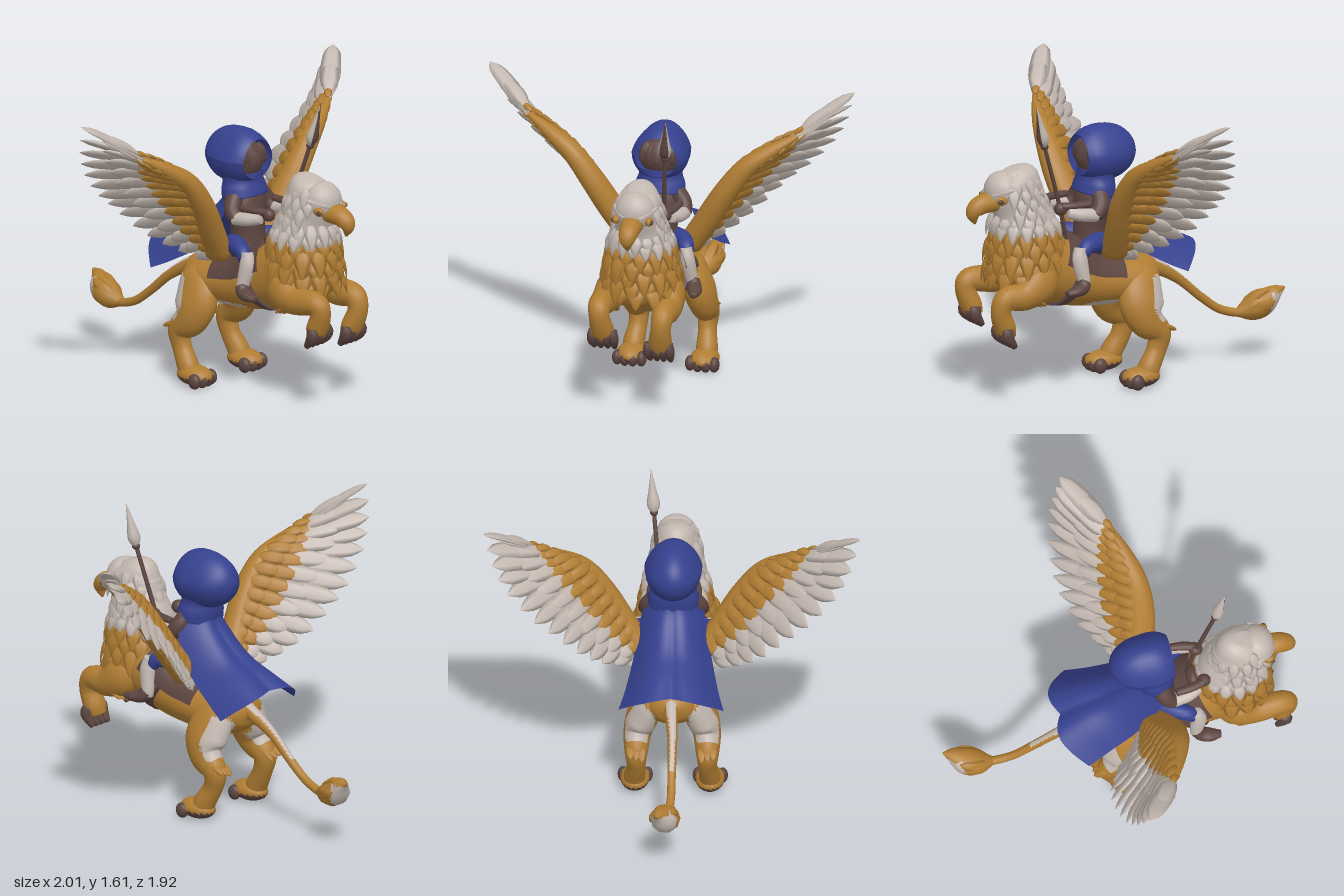
import * as THREE from 'three';
import { mergeGeometries } from 'three/addons/utils/BufferGeometryUtils.js';

const V = (x, y, z) => new THREE.Vector3(x, y, z);
const mat = (name, color, side = THREE.FrontSide) => {
  const m = new THREE.MeshStandardMaterial({ color, side });
  m.name = name;
  return m;
};

// Tube through sections [x, y, z, radiusAlongRef, radiusAcross]
function loft(sections, { ref = V(1, 0, 0), rings = 24, sides = 16, a0 = 0, a1 = Math.PI * 2, grow = 0 } = {}) {
  const path = new THREE.CatmullRomCurve3(sections.map(s => V(s[0], s[1], s[2])), false, 'catmullrom');
  const radii = new THREE.CatmullRomCurve3(sections.map(s => V(s[3], s[4], 0)), false, 'catmullrom');
  const full = a1 - a0 > 6.28, cols = full ? sides : sides + 1, pos = [], idx = [];
  for (let i = 0; i <= rings; i++) {
    const c = path.getPoint(i / rings), t = path.getTangent(i / rings), r = radii.getPoint(i / rings);
    const side = ref.clone().addScaledVector(t, -ref.dot(t)).normalize(), up = t.clone().cross(side);
    for (let j = 0; j < cols; j++) {
      const a = a0 + (a1 - a0) * j / sides;
      const p = c.clone().addScaledVector(side, Math.cos(a) * (Math.max(r.x, 0.001) + grow))
        .addScaledVector(up, Math.sin(a) * (Math.max(r.y, 0.001) + grow));
      pos.push(p.x, p.y, p.z);
    }
  }
  for (let i = 0; i < rings; i++) for (let j = 0; j < sides; j++) {
    const k = full ? (j + 1) % sides : j + 1, a = i * cols + j, b = i * cols + k;
    idx.push(a, b, a + cols, b, b + cols, a + cols);
  }
  if (full) for (const end of [0, 1]) {
    const c = path.getPoint(end), n = pos.length / 3, o = end * rings * cols;
    pos.push(c.x, c.y, c.z);
    for (let j = 0; j < sides; j++) {
      const k = (j + 1) % sides;
      idx.push(n, o + (end ? j : k), o + (end ? k : j));
    }
  }
  const g = new THREE.BufferGeometry();
  g.setAttribute('position', new THREE.Float32BufferAttribute(pos, 3));
  g.setIndex(idx);
  g.computeVertexNormals();
  return g;
}

// Splits a geometry into two material groups by a rule on face centre and normal
function paint(g, rule) {
  const lists = [[], []], ix = g.index.array, c = V(), n = V(), p = V();
  for (let i = 0; i < ix.length; i += 3) {
    c.set(0, 0, 0); n.set(0, 0, 0);
    for (let k = 0; k < 3; k++) {
      c.add(p.fromBufferAttribute(g.attributes.position, ix[i + k]));
      n.add(p.fromBufferAttribute(g.attributes.normal, ix[i + k]));
    }
    lists[rule(c.divideScalar(3), n.normalize()) ? 1 : 0].push(ix[i], ix[i + 1], ix[i + 2]);
  }
  g.setIndex([...lists[0], ...lists[1]]);
  g.clearGroups();
  g.addGroup(0, lists[0].length, 0);
  g.addGroup(lists[0].length, lists[1].length, 1);
  return g;
}

// Flat curved leaf from base to tip
function feather(base, tip, normal, w, th, bend = 0, blunt = 0.75) {
  const d = tip.clone().sub(base), at = (t, rw, k) => {
    const p = base.clone().addScaledVector(d, t).addScaledVector(normal, k * bend);
    return [p.x, p.y, p.z, w * rw, th * rw];
  };
  return loft([at(0, 0.5, 0), at(0.3, 1, 0.7), at(0.6, (1 + blunt) / 2, 0.9), at(0.85, blunt * 0.8, 0.5), at(1, 0.08, 0)],
    { ref: normal.clone().cross(d).normalize(), rings: 8, sides: 6 });
}

const ball = (x, y, z, a, b, c) => new THREE.SphereGeometry(1, 18, 12).scale(a, b, c).translate(x, y, z);

export function createModel() {
  const model = new THREE.Group();
  const gold = mat('golden fur', 0xb07d33), cream = mat('pale feathers', 0xc3b8b0);
  const dark = mat('dark brown leather', 0x5c4540, THREE.DoubleSide);
  const blue = mat('blue cloth', 0x36418f, THREE.DoubleSide);
  const add = (name, g, m) => {
    const mesh = new THREE.Mesh(Array.isArray(g) ? mergeGeometries(g) : g, m);
    mesh.name = name;
    model.add(mesh);
  };
  const rumpPatch = c => Math.abs(c.x) > .09 && ((c.z + .12) / .06) ** 2 + ((c.y - .47) / .12) ** 2 < 1;

  // Body
  const body = [[0, .59, -.2, .04, .03], [0, .585, -.16, .11, .085], [0, .565, -.05, .17, .125], [0, .565, .1, .175, .135],
    [0, .6, .3, .18, .155], [0, .68, .48, .195, .19], [0, .73, .62, .2, .19], [0, .74, .74, .14, .14], [0, .74, .8, .05, .05]];
  add('body', paint(loft(body, { rings: 56, sides: 36 }),
    (c, n) => rumpPatch(c) || (c.z > .08 && c.z < .28 && c.y < .48 && n.y < -.75)), [gold, cream]);

  // Neck and head
  add('neck', paint(loft([[0, .68, .6, .17, .17], [0, .8, .6, .185, .19], [0, .92, .6, .165, .18], [0, 1.03, .63, .13, .155],
    [0, 1.13, .66, .12, .155], [0, 1.2, .665, .1, .135], [0, 1.245, .68, .045, .06]], { rings: 40, sides: 24 }), c => c.y > .9), [gold, cream]);
  add('head', ball(0, 1.135, .735, .108, .105, .1), cream);
  add('beak', loft([[0, 1.08, .78, .06, .055], [0, 1.07, .87, .055, .052], [0, 1.03, .915, .042, .042], [0, .97, .905, .006, .006]]), gold);
  for (const s of [-1, 1]) {
    add('eyeRing', ball(s * .09, 1.1, .79, .022, .024, .032), gold);
    add('eye', ball(s * .104, 1.1, .803, .012, .013, .016), dark);
    add('brow', feather(V(s * .04, 1.125, .825), V(s * .12, 1.16, .72), V(s * .4, 1, 0).normalize(), .025, .014), cream);
  }

  // Overlapping ruff rows: y, z, rx, rz, count, length
  const ruff = (name, rows, m) => {
    const parts = [];
    rows.forEach(([y, z, rx, rz, n, len], r) => {
      for (let i = 0; i < n; i++) {
        const a = (i + (r % 2) / 2) / n * Math.PI * 2, j = Math.sin(i * 7.3 + r * 3.1);
        if (y > 1.02 && Math.sin(a) > .55) continue;
        const out = V(Math.cos(a), .15, Math.sin(a)).normalize();
        const base = V(Math.cos(a) * rx, y + j * .012, z + Math.sin(a) * rz);
        const tip = base.clone().addScaledVector(out, .032 + j * .014).add(V(0, -len * (1 + j * .25), 0));
        parts.push(feather(base, tip, out, Math.min(.05, rx * 2.6 / n + .014), .012, .01, .45));
      }
    });
    add(name, parts, m);
  };
  ruff('headFeathers', [[1.235, .67, .05, .07, 8, .08], [1.2, .665, .085, .12, 12, .1], [1.15, .66, .105, .14, 14, .1],
    [1.1, .65, .112, .145, 14, .11], [1.05, .635, .12, .145, 15, .11], [1, .62, .135, .155, 15, .11], [.96, .605, .15, .165, 16, .09]], cream);
  ruff('chestFeathers', [[.92, .6, .16, .175, 14, .12], [.87, .6, .173, .185, 14, .13], [.81, .6, .18, .19, 15, .13],
    [.76, .605, .18, .188, 14, .13], [.71, .62, .175, .175, 13, .11]], gold);

  for (const s of [-1, 1]) {
    // Hind leg
    add('hindLeg', paint(loft([[s * .09, .64, -.05, .03, .05], [s * .115, .57, -.05, .07, .11], [s * .16, .45, -.025, .085, .13],
      [s * .185, .36, -.04, .075, .1], [s * .19, .28, -.115, .062, .068], [s * .19, .19, -.1, .05, .055],
      [s * .2, .1, -.05, .058, .06], [s * .2, .05, -.03, .055, .06]], { rings: 48, sides: 24 }), rumpPatch), [gold, cream]);
    add('hockTuft', [0, 1, 2].map(i => feather(V(s * (.16 + i * .03), .33, -.13), V(s * (.16 + i * .03), .27 + i * .01, -.205),
      V(0, .6, -.8), .028, .014)), gold);
    add('hindPaw', paint(ball(s * .2, .055, 0, .078, .055, .11), c => c.y < .05), [gold, dark]);
    add('hindToes', [-1.5, -.5, .5, 1.5].map(i => ball(s * .2 + i * .044, .042, .075 - Math.abs(i) * .013, .028, .042, .038)), dark);

    // Raised front leg, the right one slightly higher
    const dy = s < 0 ? .06 : 0, dz = s < 0 ? .03 : 0;
    add('frontLeg', loft([[s * .12, .7, .54, .07, .08], [s * .155, .64, .6, .085, .11], [s * .17, .585 + dy * .4, .7, .075, .08],
      [s * .17, .58 + dy * .6, .81 + dz, .062, .065], [s * .165, .51 + dy, .84 + dz, .055, .055],
      [s * .155, .42 + dy, .81 + dz, .064, .058], [s * .15, .37 + dy, .79 + dz, .05, .045]], { rings: 32 }), gold);
    add('elbowTuft', [0, 1, 2].map(i => feather(V(s * (.14 + i * .03), .58, .66), V(s * (.14 + i * .03), .5 + i * .01, .58),
      V(0, -.6, -.8), .028, .014)), gold);
    add('frontToes', [-1.5, -.5, .5, 1.5].map(i => loft([[s * .15 + i * .037, .425 + dy, .815 + dz, .022, .03],
      [s * .15 + i * .04, .38 + dy, .82 + dz, .027, .036], [s * .15 + i * .037, .32 + dy, .775 + dz, .014, .016]], { rings: 8, sides: 8 })), dark);

    // Wing: arm curve and trailing edge carry overlapping feather rows
    const P = (x, y, z) => V(s * x, y, z);
    const arm = new THREE.CatmullRomCurve3([P(.16, .76, .13), P(.27, .93, .17), P(.365, 1.085, .195), P(.475, 1.23, .195), P(.6, 1.32, .16), P(.735, 1.4, .11)]);
    const edge = new THREE.CatmullRomCurve3([P(.24, .73, .04), P(.36, .8, -.07), P(.48, .9, -.16), P(.62, 1.04, -.21),
      P(.76, 1.16, -.21), P(.89, 1.31, -.18), P(.96, 1.45, -.14), P(1, 1.6, -.09)]);
    const row = (n, reach, fade, w, th, lift, back) => Array.from({ length: n }, (_, i) => {
      const t = i / (n - 1), a = arm.getPoint(t), e = edge.getPoint(t), shrink = 1 - fade * t ** 4;
      const normal = e.clone().sub(a).cross(arm.getTangent(t)).normalize();
      if (normal.x * s > 0) normal.negate();
      const base = a.clone().lerp(e, back).addScaledVector(normal, lift * shrink);
      const tip = a.clone().lerp(e, reach * shrink).addScaledVector(normal, lift * .6 * shrink);
      return feather(base, tip, normal, w * shrink, th * shrink, .012 * shrink, .95);
    });
    add('wingArm', loft([0, .2, .4, .6, .8, 1].map((t, i) => {
      const p = arm.getPoint(t);
      return [p.x, p.y, p.z, [.085, .08, .075, .06, .045, .02][i], [.065, .068, .064, .055, .04, .015][i]];
    }), { ref: V(0, -.2, 1) }), gold);
    add('flightFeathers', row(14, 1, 0, .055, .016, 0, .1), cream);
    add('middleFeathers', [...row(12, .74, .1, .052, .016, .018, .1), ...row(12, .74, .1, .052, .016, -.018, .1)], cream);
    add('coverts', [...row(14, .52, .55, .046, .018, .034, .03), ...row(14, .46, .55, .046, .018, -.036, .03)], gold);
    add('smallCoverts', [...row(14, .32, .5, .042, .018, .052, -.02), ...row(14, .3, .5, .042, .018, -.052, -.02)], gold);
  }

  // Tail with leaf-shaped tuft
  add('tail', paint(loft([[0, .615, -.12, .045, .05], [0, .58, -.22, .036, .04], [-.01, .5, -.35, .026, .028], [-.01, .38, -.49, .023, .024],
    [-.01, .3, -.6, .022, .023], [0, .265, -.72, .024, .024], [.01, .28, -.78, .025, .025]], { rings: 40, sides: 16 }),
    (c, n) => n.y > .6 && c.z > -.5 && c.z < -.16), [gold, cream]);
  add('tailTuft', paint(loft([[0, .265, -.7, .02, .02], [.005, .28, -.78, .07, .065], [.02, .31, -.85, .075, .075], [.045, .36, -.91, .045, .045],
    [.06, .39, -.965, .004, .004]], { sides: 10 }), c => c.z < -.87 && c.y < .37), [gold, cream]);
  add('tuftLocks', [0, 1, 2, 3, 4].map(i => {
    const a = i * 1.257, o = V(Math.cos(a), Math.sin(a), 0);
    return feather(V(0, .27, -.73).addScaledVector(o, .02), V(.03, .33, -.89).addScaledVector(o, .06), o, .035, .014, .025);
  }), gold);

  // Saddle and girth hugging the body
  add('saddle', loft([[0, .575, .08, .18, .145], [0, .6, .25, .185, .165], [0, .65, .38, .195, .19], [0, .69, .47, .2, .2]],
    { grow: .012, a0: .2, a1: Math.PI - .2, sides: 28 }), dark);
  add('girth', loft([[0, .605, .33, .183, .163], [0, .625, .36, .187, .172], [0, .64, .39, .191, .18]], { grow: .01, sides: 32, rings: 4 }), dark);
  add('saddleSeat', ball(0, .76, .22, .13, .06, .17), dark);
  add('pommel', ball(0, .85, .39, .07, .06, .04), dark);

  // Rider
  add('riderTorso', loft([[0, .74, .2, .11, .1], [0, .86, .2, .1, .085], [0, 1, .19, .115, .085], [0, 1.1, .18, .08, .06], [0, 1.15, .17, .05, .05]]), dark);
  for (const s of [-1, 1]) {
    add('sleeve', loft([[s * .09, 1.07, .19, .045, .05], [s * .135, 1.01, .21, .045, .045], [s * .15, .96, .25, .04, .04]]), dark);
    add('bracer', loft([[s * .15, .965, .24, .036, .036], [s * .14, .975, .33, .036, .036], [s * .115, .99, .4, .03, .03]]), cream);
    add('cuff', loft([[s * .13, 1.025, .27, .02, .018], [s * .12, 1.025, .36, .024, .02], [s * .1, 1.025, .43, .024, .02]]), dark);
    add('glove', ball(s * .09, 1.01, .43, .034, .036, .038), dark);
    add('thigh', loft([[s * .08, .79, .17, .06, .06], [s * .14, .81, .25, .05, .052], [s * .178, .805, .32, .042, .042], [s * .19, .77, .35, .034, .034]]), blue);
    add('greave', loft([[s * .188, .81, .365, .03, .034], [s * .2, .74, .375, .038, .044], [s * .215, .64, .36, .034, .036], [s * .22, .6, .36, .032, .034]]), cream);
    add('boot', loft([[s * .225, .63, .36, .036, .036], [s * .235, .6, .38, .04, .036], [s * .25, .59, .43, .038, .028], [s * .255, .585, .485, .02, .016]]), dark);
  }
  add('face', ball(0, 1.25, .16, .115, .115, .115), dark);
  add('fringe', [-2, -1, 0, 1, 2].map(i => feather(V(i * .028, 1.335, .22), V(i * .045, 1.22, .27 - Math.abs(i) * .016), V(0, .3, 1), .03, .014, .015)), dark);

  // Hood open to the front, with a peaked crown
  const hood = new THREE.SphereGeometry(1, 28, 16, 0, Math.PI * 2, .7, Math.PI - .7).rotateX(Math.PI / 2);
  const hp = hood.attributes.position;
  for (let i = 0; i < hp.count; i++) {
    const x = hp.getX(i), y = hp.getY(i), z = hp.getZ(i), front = Math.max(0, z);
    hp.setXYZ(i, x * (.15 + front * .04) * (1 - .25 * Math.max(0, y)), 1.268 + y * (.155 + front * .02), .125 + z * .19);
  }
  hood.computeVertexNormals();
  add('hood', hood, blue);
  add('cowl', loft([[0, 1.05, .18, .14, .11], [0, 1.1, .17, .135, .105], [0, 1.14, .165, .12, .1], [0, 1.18, .16, .12, .1]]), blue);

  // Cape: rows of y, z, half width, side wrap, edge drop
  const rows = [[1.15, .1, .1, .09, 0], [1.02, .06, .16, .13, .02], [.88, -.08, .205, .13, .09], [.81, -.22, .245, .1, .13], [.745, -.335, .28, .09, .125]];
  const spine = new THREE.CatmullRomCurve3(rows.map(r => V(r[0], r[1], r[2])), false, 'catmullrom');
  const wrap = new THREE.CatmullRomCurve3(rows.map(r => V(r[3], r[4], 0)), false, 'catmullrom');
  const cape = new THREE.PlaneGeometry(1, 1, 28, 20), cp = cape.attributes.position;
  for (let i = 0; i < cp.count; i++) {
    const u = cp.getX(i) * 2, v = .5 - cp.getY(i), c = spine.getPoint(v), w = wrap.getPoint(v);
    const fold = Math.sin(Math.PI * Math.abs(u)) * v;
    cp.setXYZ(i, u * c.z, c.x - w.y * u * u + fold * .02, c.y + w.x * u * u - fold * .055);
  }
  cape.computeVertexNormals();
  add('cape', cape, blue);

  // Spear
  add('spearShaft', loft([[.07, .86, .39, .012, .012], [.085, 1.05, .44, .012, .012], [.115, 1.38, .545, .011, .011]], { sides: 8, rings: 6 }), dark);
  add('spearCollar', ball(.115, 1.375, .544, .022, .02, .022), dark);
  const blade = loft([[.115, 1.37, .543, .014, .014], [.118, 1.42, .556, .036, .032], [.124, 1.5, .575, .02, .02], [.132, 1.605, .602, .002, .002]],
    { sides: 8, rings: 10 });
  add('spearBlade', paint(blade, (c, n) => n.z < .6), [dark, cream]);
  return model;
}
